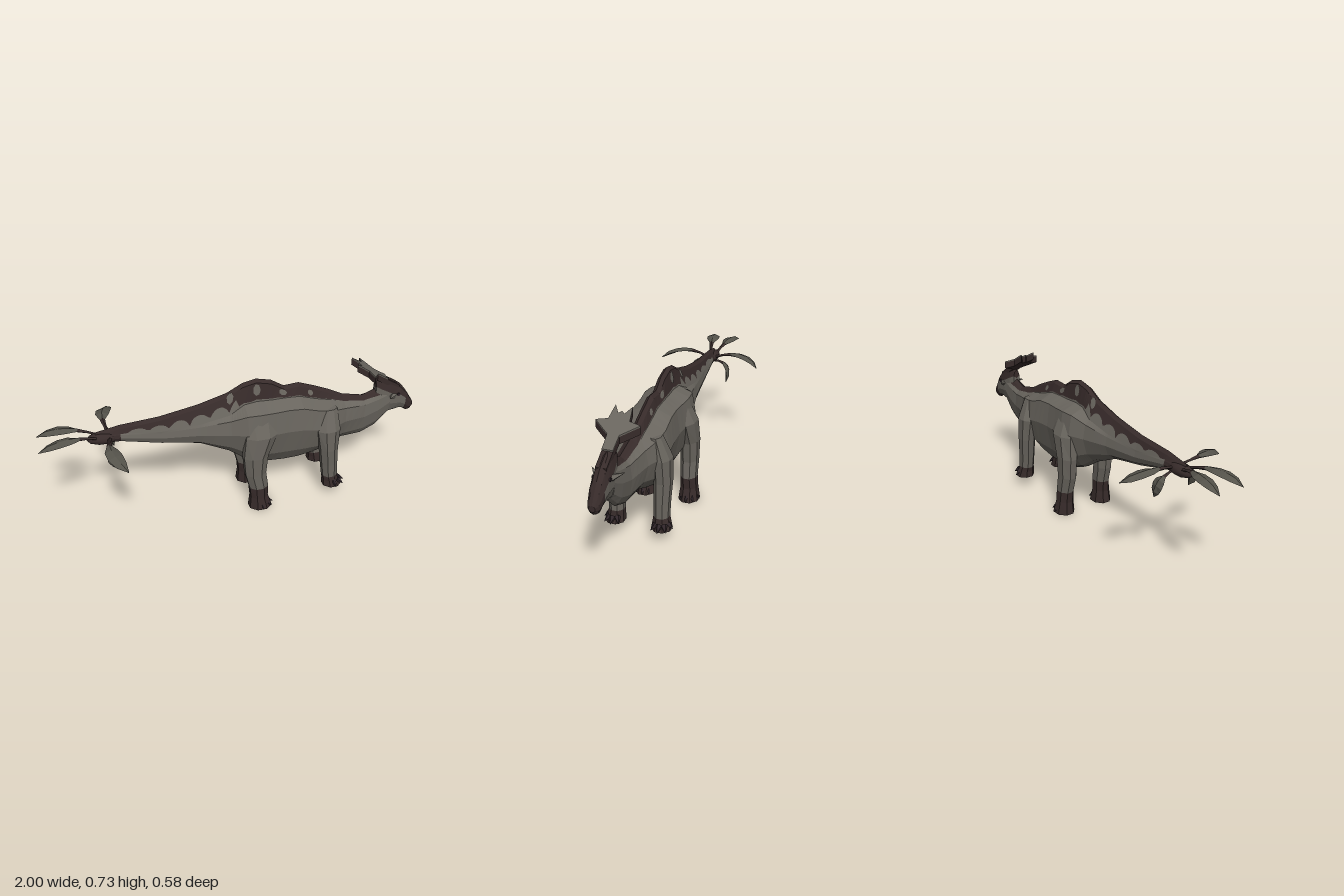
import * as THREE from 'three';

const mat = (name, color) => Object.assign(new THREE.MeshStandardMaterial({ color }), { name });
const V = (x, y, z) => new THREE.Vector3(x, y, z);
const { lerp } = THREE.MathUtils;

export function createModel() {
  const model = new THREE.Group();
  const hide = mat('greyHide', 0x69655e);
  const dark = mat('darkBrownHide', 0x372b2a);
  const leafMat = mat('tailLeafGrey', 0x55534b);
  const horn = mat('clawBrown', 0x30262a);

  const add = (geo, material, name) => {
    const m = new THREE.Mesh(geo, material);
    m.name = name;
    model.add(m);
    return m;
  };

  // Faceted skin over rings; pick(i, j) gives the material index of each face
  function loft(rings, materials, name, pick) {
    const buckets = materials.map(() => []);
    const tri = (k, ...pts) => pts.forEach(p => buckets[k].push(p.x, p.y, p.z));
    const n = rings[0].length, last = rings.length - 1;
    const mid = r => r.reduce((s, p) => s.add(p), V(0, 0, 0)).divideScalar(n);
    const c0 = mid(rings[0]), c1 = mid(rings[last]);
    for (let j = 0; j < n; j++) {
      const q = (j + 1) % n;
      for (let i = 0; i < last; i++) {
        tri(pick(i, j), rings[i][j], rings[i][q], rings[i + 1][j]);
        tri(pick(i, j), rings[i][q], rings[i + 1][q], rings[i + 1][j]);
      }
      tri(pick(0, j), c0, rings[0][q], rings[0][j]);
      tri(pick(last - 1, j), c1, rings[last][j], rings[last][q]);
    }
    const geo = new THREE.BufferGeometry();
    geo.setAttribute('position', new THREE.Float32BufferAttribute(buckets.flat(), 3));
    let start = 0;
    buckets.forEach((b, k) => { geo.addGroup(start, b.length / 3, k); start += b.length / 3; });
    geo.computeVertexNormals();
    add(geo, materials, name);
  }

  // Body stations: x, top, ridge base height, ridge base half width, flank half width, belly
  const keys = [
    [-.72, .55, .53, .015, .022, .485], [-.6, .572, .535, .024, .032, .478],
    [-.4, .585, .515, .036, .043, .425], [-.2, .62, .53, .05, .066, .385],
    [-.05, .662, .56, .055, .095, .315], [.03, .705, .60, .04, .13, .26],
    [.1, .72, .605, .035, .138, .225], [.18, .70, .60, .035, .128, .212],
    [.25, .655, .60, .035, .122, .205], [.33, .66, .595, .035, .125, .207],
    [.42, .625, .565, .035, .13, .222], [.5, .59, .545, .035, .122, .25],
    [.58, .548, .52, .035, .085, .278], [.7, .52, .50, .03, .055, .275],
    [.78, .55, .515, .03, .048, .31], [.85, .575, .53, .03, .04, .378],
  ];
  const section = x => {
    let i = 0;
    while (i < keys.length - 2 && keys[i + 1][0] < x) i++;
    const t = (x - keys[i][0]) / (keys[i + 1][0] - keys[i][0]);
    return keys[i].map((v, k) => lerp(v, keys[i + 1][k], t));
  };
  // Point on the flank of the back ridge, t = 0 at its crest and 1 at its base
  const ridge = (x, t) => {
    const [, top, base, w] = section(x);
    return V(x, top - .015, Math.min(.018, w * .6)).lerp(V(x, base, w), t);
  };
  // Scalloped lower edge of the dark back
  const edge = x => {
    const amp = x < -.56 ? 0 : x < 0 ? .6 : .12;
    return 1 - amp * Math.sqrt(Math.abs(Math.cos(Math.PI * (x + .305) / .103)));
  };
  const xs = [];
  keys.slice(0, -1).forEach(([x], i) => {
    const span = keys[i + 1][0] - x, n = Math.ceil(span / (x < 0 ? .014 : .045));
    for (let j = 0; j < n; j++) xs.push(x + span * j / n);
  });
  xs.push(.85);
  const bodyRings = xs.map(x => {
    const [, top, base, , w, belly] = section(x);
    const shoulder = lerp(base, belly, .085), flank = lerp(belly, shoulder, .66);
    const half = [V(x, top, 0), ridge(x, 0), ridge(x, edge(x)), ridge(x, 1), V(x, shoulder, w * .86),
      V(x, flank, w), V(x, lerp(belly, flank, .4), w * .76), V(x, belly + .015, w * .38), V(x, belly, 0)];
    return [...half, ...half.slice(1, 8).reverse().map(p => V(p.x, p.y, -p.z))];
  });
  loft(bodyRings, [hide, dark], 'body', (i, j) => (j < 2 || j > 13 || xs[i] < -.61 ? 1 : 0));

  // Pale spots on the back ridge
  for (const [x, t, r] of [[-.04, .12, .018], [.1, .35, .02], [.24, .35, .022], [.39, .4, .015]]) {
    for (const side of [1, -1]) {
      const rim = Array.from({ length: 7 }, (_, k) => {
        const a = k / 7 * Math.PI * 2 * side;
        const p = ridge(x + r * Math.cos(a), t - .32 * Math.sin(a));
        return V(p.x, p.y, (p.z + .003) * side);
      });
      const geo = new THREE.BufferGeometry().setFromPoints(
        [1, 2, 3, 4, 5].flatMap(k => [rim[0], rim[k], rim[k + 1]]));
      geo.computeVertexNormals();
      add(geo, hide, 'backSpot');
    }
  }

  const spike = (base, tip, r, material, name) => {
    const dir = tip.clone().sub(base);
    const m = add(new THREE.ConeGeometry(r, dir.length(), 5).toNonIndexed(), material, name);
    m.geometry.computeVertexNormals();
    m.position.copy(base).addScaledVector(dir, .5);
    m.quaternion.setFromUnitVectors(V(0, 1, 0), dir.normalize());
  };

  // Legs with dark feet: y, centre x, centre z, radius x, radius z
  const hind = [[.57, .11, .08, .06, .025], [.45, .10, .108, .09, .053], [.33, .07, .115, .07, .05],
    [.22, .07, .115, .06, .047], [.13, .088, .117, .054, .044], [.07, .09, .12, .05, .046], [0, .098, .122, .066, .056]];
  const fore = [[.53, .475, .085, .045, .028], [.42, .468, .113, .067, .047], [.30, .475, .117, .052, .046],
    [.2, .485, .115, .048, .042], [.12, .493, .115, .044, .04], [.095, .498, .117, .044, .045], [.06, .507, .12, .055, .052]];
  for (const side of [1, -1]) {
    for (const [rows, name] of [[hind, 'hindLeg'], [fore, 'foreLeg']]) {
      const rings = rows.map(([y, x, z, rx, rz]) => Array.from({ length: 8 }, (_, k) => {
        const a = (k + .5) / 8 * Math.PI * 2;
        return V(x + rx * Math.cos(a), y, z * side + rz * Math.sin(a));
      }));
      loft(rings, [hide, dark], name, i => (i > 3 ? 1 : 0));
      const [y, x, z] = rows[6];
      for (const a of [-.7, 0, .7, 1.5]) {
        const c = Math.cos(a), s = Math.sin(a);
        spike(V(x + .035 * c, y + .03, (z + .03 * s) * side),
          V(x + .072 * c, y + .006, (z + .06 * s) * side), .018, horn, 'claw');
      }
    }
  }

  // Head: x, top, bottom, half width
  const skull = [[.77, .60, .50, .02], [.80, .615, .43, .033], [.85, .60, .385, .041], [.91, .56, .40, .041],
    [.945, .52, .395, .037], [.965, .49, .38, .033], [.985, .46, .385, .028], [1, .435, .405, .016]];
  loft(skull.map(([x, t, b, w]) => Array.from({ length: 10 }, (_, k) => {
    const a = k / 10 * Math.PI * 2;
    return V(x, (t + b) / 2 + Math.cos(a) * (t - b) / 2, w * Math.sin(a));
  })), [hide, dark], 'head', (i, j) => (i > 3 || j < 2 || j > 7 ? 1 : 0));
  for (const side of [1, -1]) {
    spike(V(.87, .505, .03 * side), V(.825, .515, .078 * side), .02, hide, 'cheekSpike');
    const eye = add(new THREE.CylinderGeometry(.009, .009, .006, 8), horn, 'eye');
    eye.rotation.x = Math.PI / 2;
    eye.position.set(.895, .51, .04 * side);
  }

  // Swept-back pronged crest, sheared along the slope of the forehead
  const crest = (front, low, high, material, name) => {
    const half = [[front, .026], [.81, .026], [.765, .028], [.712, .105], [.70, .05], [.637, .04], [.672, .014]];
    const outline = [...half, [.66, 0], ...half.slice().reverse().map(([x, z]) => [x, -z])];
    const geo = new THREE.ExtrudeGeometry(new THREE.Shape(outline.map(p => new THREE.Vector2(...p))),
      { depth: high - low, bevelEnabled: false });
    geo.rotateX(-Math.PI / 2);
    const p = geo.attributes.position;
    for (let i = 0; i < p.count; i++) p.setY(i, p.getY(i) + low + .73 - .63 * (p.getX(i) - .637));
    geo.computeVertexNormals();
    add(geo, material, name);
  };
  crest(.9, -.038, -.004, dark, 'crest');
  crest(.83, -.004, .003, hide, 'crestTop');

  // Tail hub with curved leaf-shaped blades
  const hub = add(new THREE.IcosahedronGeometry(1, 1), dark, 'tailHub');
  hub.geometry.scale(.085, .032, .04);
  hub.position.set(-.68, .513, 0);
  const leaf = (pts, wide, half) => {
    const curve = new THREE.QuadraticBezierCurve3(...pts);
    const rings = [.3, .22, .35, .9, 1, .75, .04].map((w, i) => {
      const c = curve.getPoint(i / 6), t = curve.getTangent(i / 6);
      const u = wide.clone().addScaledVector(t, -wide.dot(t)).normalize();
      const v = t.clone().cross(u);
      const thick = Math.min(.011, w * half * .8);
      return [[w * half, 0], [0, thick], [-w * half, 0], [0, -thick]]
        .map(([a, b]) => c.clone().addScaledVector(u, a).addScaledVector(v, b));
    });
    loft(rings, [leafMat, dark], 'tailLeaf', i => (i < 2 ? 1 : 0));
  };
  for (const s of [1, -1]) {
    leaf([V(-.70, .52, .015 * s), V(-.85, .59, .055 * s), V(-1, .53, .07 * s)], V(0, 0, 1), .037);
    leaf([V(-.65, .515, .015 * s), V(-.70, .575, .18 * s), V(-.605, .495, .29 * s)], V(1, 0, 0), .038);
    leaf([V(-.65, .50, .015 * s), V(-.67, .50, .13 * s), V(-.625, .38, .105 * s)], V(1, 0, 0), .034);
  }
  return model;
}
